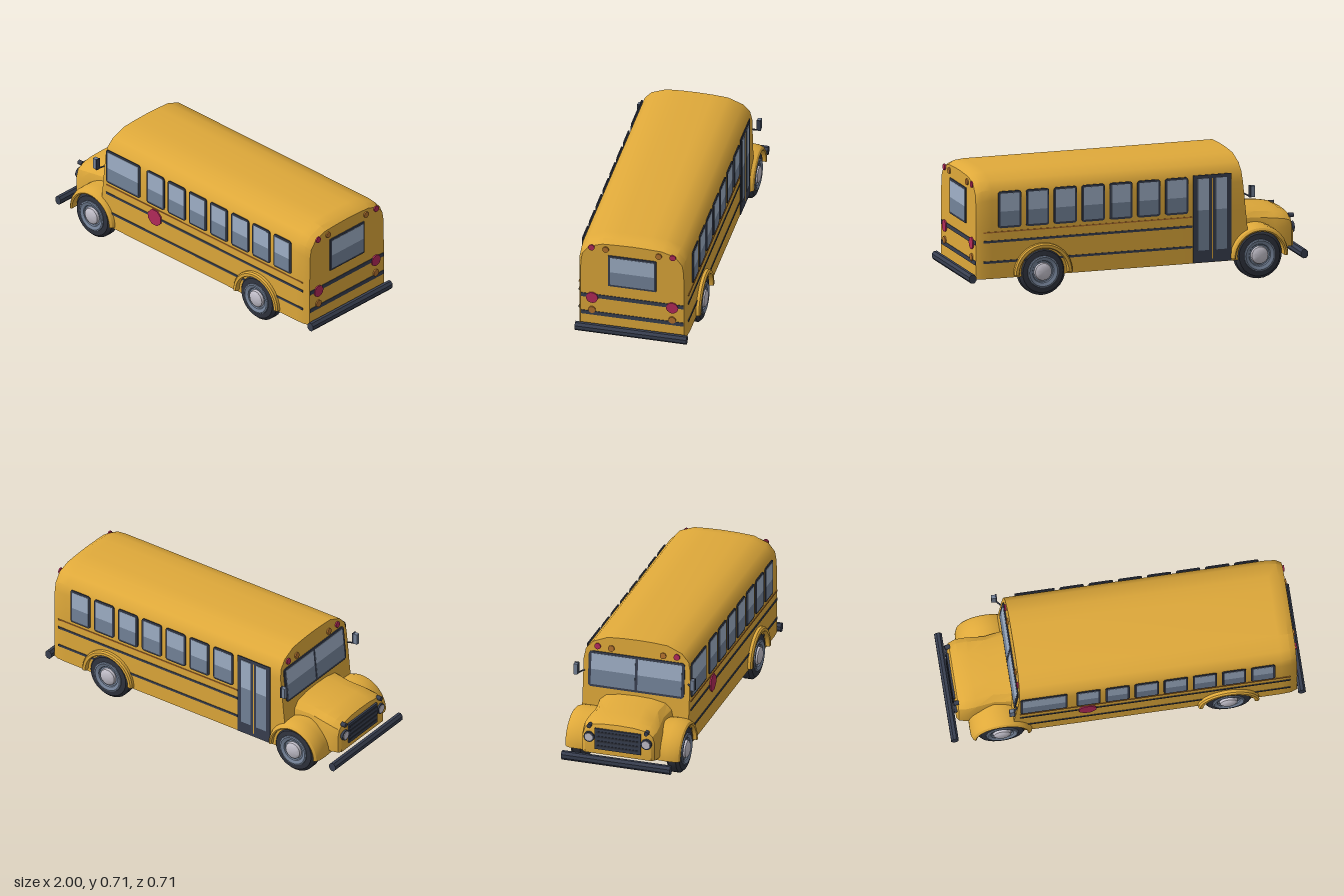
import * as THREE from 'three';
import { toCreasedNormals } from 'three/addons/utils/BufferGeometryUtils.js';

const mat = (name, color) => new THREE.MeshStandardMaterial({ name, color });

export function createModel() {
  const bus = new THREE.Group();
  bus.name = 'bus';
  const yellow = mat('yellow paint', 0xdfa93a);
  const fenderYellow = yellow.clone();
  fenderYellow.side = THREE.DoubleSide;
  const navy = mat('dark trim', 0x383f50);
  const tyreMat = mat('tyre rubber', 0x30343f);
  const glassLight = mat('light glass', 0xa0b1c8);
  const glassDark = mat('dark glass', 0x74849a);
  const slate = mat('slate metal', 0x76849a);
  const silver = mat('silver', 0xc4c1cc);
  const red = mat('red', 0xb32a5a);
  const amber = mat('amber', 0xb5732f);

  const add = (parent, name, geo, material, x = 0, y = 0, z = 0) => {
    const m = new THREE.Mesh(geo, material);
    m.name = name;
    m.position.set(x, y, z);
    parent.add(m);
    return m;
  };

  // Closed skin through mirrored half sections of [z, y]; xAt gives x for a height
  const loft = (stations) => {
    const rings = stations.map(({ half, xAt }) => {
      const mirror = half.slice(0, -1).reverse().map(([z, y]) => [-z, y]);
      return [...half, ...mirror].map(([z, y]) => [xAt(y), y, z]);
    });
    const n = rings[0].length, pos = [];
    const tri = (a, b, c) => pos.push(...a, ...b, ...c);
    for (let i = 0; i < rings.length - 1; i++) {
      for (let j = 0; j < n; j++) {
        const k = (j + 1) % n, p = rings[i], q = rings[i + 1];
        tri(p[j], q[j], q[k]);
        tri(p[j], q[k], p[k]);
      }
    }
    const first = rings[0], last = rings[rings.length - 1];
    for (let j = 1; j < n - 1; j++) {
      tri(first[0], first[j], first[j + 1]);
      tri(last[0], last[j + 1], last[j]);
    }
    const g = new THREE.BufferGeometry();
    g.setAttribute('position', new THREE.Float32BufferAttribute(pos, 3));
    return toCreasedNormals(g, 0.55);
  };

  // Passenger body, with a raked front and a softened rear
  const full = [[0.313, 0.118], [0.313, 0.4], [0.313, 0.565], [0.302, 0.623], [0.262, 0.668],
    [0.177, 0.703], [0.09, 0.709], [0, 0.711]];
  const rear = [[0.297, 0.118], [0.297, 0.4], [0.295, 0.545], [0.286, 0.6], [0.247, 0.652],
    [0.17, 0.677], [0.08, 0.681], [0, 0.683]];
  const blend = (t) => full.map(([z, y], i) => [z + (rear[i][0] - z) * t, y + (rear[i][1] - y) * t]);
  const rake = 0.1, frontX = (y) => -0.603 - (0.711 - y) * rake;
  add(bus, 'body', loft([
    { half: full, xAt: frontX },
    { half: full, xAt: () => 0.863 },
    { half: blend(0.22), xAt: () => 0.92 },
    { half: rear, xAt: () => 0.953 },
  ]), yellow);

  // Hood
  const hoodHalf = (w, top) => {
    const b = 0.152, h = top - b;
    return [[1, 0], [1, 0.55], [0.94, 0.78], [0.78, 0.92], [0.42, 0.985], [0, 1]]
      .map(([u, v]) => [u * w, b + v * h]);
  };
  add(bus, 'hood', loft([[-0.953, 0.195, 0.3], [-0.94, 0.212, 0.335], [-0.9, 0.224, 0.353],
    [-0.84, 0.222, 0.364], [-0.74, 0.21, 0.374], [-0.6, 0.23, 0.386]]
    .map(([x, w, top]) => ({ half: hoodHalf(w, top), xAt: () => x }))), yellow);

  // Wheels and fenders, turned around the axle
  const turn = (pts, start = 0, length = Math.PI * 2, segs = 28) => {
    const g = new THREE.LatheGeometry(pts.map(([r, z]) => new THREE.Vector2(r, z)), segs, start, length);
    return toCreasedNormals(g.rotateX(Math.PI / 2), 0.5);
  };
  const tyre = turn([[0, 0.24], [0.11, 0.24], [0.137, 0.258], [0.137, 0.303], [0.12, 0.32], [0.086, 0.323]]);
  const rim = turn([[0.092, 0.318], [0.09, 0.328], [0.083, 0.331], [0.064, 0.324], [0.06, 0.316], [0, 0.316]]);
  const hub = turn([[0.052, 0.314], [0.048, 0.33], [0.035, 0.338], [0, 0.34]]);
  const arch = (pts) => turn(pts, Math.PI / 2, Math.PI, 24);
  const frontFender = arch([[0.172, 0.15], [0.176, 0.26], [0.174, 0.305], [0.164, 0.33], [0.152, 0.339],
    [0.144, 0.335], [0.144, 0.15]]);
  const rearFender = arch([[0.172, 0.3], [0.172, 0.33], [0.164, 0.339], [0.148, 0.339], [0.144, 0.333], [0.144, 0.3]]);
  for (const [end, x, fender] of [['front', -0.713, frontFender], ['rear', 0.565, rearFender]]) {
    for (const turned of [0, Math.PI]) {
      const wheel = new THREE.Group();
      wheel.name = end + 'Wheel';
      wheel.position.set(x, 0.139, 0);
      wheel.rotation.y = turned;
      add(wheel, 'tyre', tyre, tyreMat);
      add(wheel, 'rim', rim, slate);
      add(wheel, 'hub', hub, silver);
      add(wheel, end + 'Fender', fender, fenderYellow, 0, -0.008, 0);
      bus.add(wheel);
    }
  }

  // Faces of the bus: in each group +z points out of that face
  const face = (name, x, z, turnY, tilt = 0) => {
    const g = new THREE.Group();
    g.name = name;
    g.position.set(x, 0, z);
    g.rotation.set(tilt, turnY, 0, 'YXZ');
    bus.add(g);
    return g;
  };
  const nearSide = face('nearSide', 0, 0.313, 0);
  const doorSide = face('doorSide', 0, -0.313, Math.PI);
  const rearFace = face('rearFace', 0.953, 0, Math.PI / 2);
  const cabFront = face('cabFront', frontX(0), 0, -Math.PI / 2, -Math.atan(rake));
  const nose = face('nose', -0.953, 0, -Math.PI / 2);

  const plate = (parent, name, material, x, y, w, h, z = 0.002, d = 0.005) =>
    add(parent, name, new THREE.BoxGeometry(w, h, d), material, x, y, z);
  const disc = (parent, name, material, x, y, r, segs = 16, z = 0.004, d = 0.008) =>
    add(parent, name, new THREE.CylinderGeometry(r, r, d, segs).rotateY(Math.PI / segs).rotateX(Math.PI / 2),
      material, x, y, z);
  const roundedPlate = (w, h, r, depth) => {
    const s = new THREE.Shape(), a = w / 2, b = h / 2;
    s.absarc(a - r, b - r, r, 0, Math.PI / 2);
    s.absarc(r - a, b - r, r, Math.PI / 2, Math.PI);
    s.absarc(r - a, r - b, r, Math.PI, Math.PI * 1.5);
    s.absarc(a - r, r - b, r, Math.PI * 1.5, Math.PI * 2);
    return new THREE.ExtrudeGeometry(s, { depth, bevelEnabled: false, curveSegments: 4 });
  };
  // Two-tone pane, split partway up
  const pane = (parent, x, y0, y1, w, split = 0.5) => {
    plate(parent, 'lowerGlass', glassDark, x, (y0 + split) / 2, w, split - y0, 0.005);
    plate(parent, 'upperGlass', glassLight, x, (y1 + split) / 2, w, y1 - split, 0.005);
  };
  const windowAt = (parent, x, y0, y1, w, r = 0.016, edge = 0.012) => {
    add(parent, 'windowFrame', roundedPlate(w, y1 - y0, r, 0.006), navy, x, (y0 + y1) / 2, 0);
    pane(parent, x, y0 + edge, y1 - edge, w - edge * 2);
  };

  // Side windows and stripes
  for (const [side, s] of [[nearSide, 1], [doorSide, -1]]) {
    for (let i = 0; i < 7; i++) windowAt(side, s * (-0.225 + i * 0.1642), 0.405, 0.615, 0.136);
    const x0 = s > 0 ? -0.61 : -0.32, x1 = 0.915;
    for (const [y, h, m] of [[0.383, 0.007, amber], [0.33, 0.013, navy], [0.213, 0.013, navy]]) {
      plate(side, 'sideStripe', m, s * (x0 + x1) / 2, y, x1 - x0, h, 0.001, 0.004);
    }
  }
  windowAt(nearSide, -0.476, 0.405, 0.615, 0.264);
  disc(nearSide, 'stopPlate', red, -0.23, 0.33, 0.052, 8);

  // Folding door
  plate(doorSide, 'doorFrame', navy, 0.435, 0.37, 0.224, 0.5);
  for (const x of [0.382, 0.488]) pane(doorSide, x, 0.19, 0.6, 0.066, 0.42);
  plate(doorSide, 'doorSeam', yellow, 0.435, 0.37, 0.006, 0.46, 0.003);

  // Rear window, stripes and lamps
  windowAt(rearFace, 0, 0.405, 0.608, 0.276, 0.004);
  for (const y of [0.324, 0.209]) plate(rearFace, 'rearStripe', navy, 0, y, 0.588, 0.024, 0.001, 0.004);
  for (const s of [-1, 1]) {
    disc(rearFace, 'tailLamp', red, s * 0.23, 0.313, 0.034);
    disc(rearFace, 'turnLamp', amber, s * 0.23, 0.232, 0.021);
    for (const f of [rearFace, cabFront]) {
      disc(f, 'redRoofLamp', red, s * 0.233, 0.648, 0.018);
      disc(f, 'amberRoofLamp', amber, s * 0.152, 0.645, 0.018);
    }
  }

  // Split windshield
  add(cabFront, 'windshieldFrame', roundedPlate(0.565, 0.21, 0.02, 0.006), navy, 0, 0.512, 0);
  for (const s of [-1, 1]) pane(cabFront, s * 0.137, 0.42, 0.604, 0.258, 0.51);

  // Grille, headlamps and nose markers
  plate(nose, 'grille', navy, 0, 0.245, 0.27, 0.125, 0.002, 0.012);
  for (let i = 0; i < 4; i++) plate(nose, 'grilleBar', tyreMat, 0, 0.203 + i * 0.028, 0.25, 0.01, 0.008, 0.006);
  for (const s of [-1, 1]) {
    disc(nose, 'headlampRing', navy, s * 0.168, 0.252, 0.031, 20, 0.002, 0.016);
    disc(nose, 'headlamp', silver, s * 0.168, 0.252, 0.023, 20, 0.009, 0.008);
    disc(nose, 'noseMarker', navy, s * 0.168, 0.318, 0.013, 12, -0.004, 0.03);
  }

  // Bumpers
  for (const [name, x] of [['frontBumper', -0.979], ['rearBumper', 0.979]]) {
    const g = new THREE.CylinderGeometry(1, 1, 0.64, 8).rotateY(Math.PI / 8).rotateX(Math.PI / 2);
    add(bus, name, toCreasedNormals(g.scale(0.0227, 0.0271, 1), 0.3), navy, x, 0.126, 0);
  }

  // Door mirrors on short arms
  for (const s of [-1, 1]) {
    const arm = new THREE.LineCurve3(new THREE.Vector3(-0.625, 0.495, s * 0.305), new THREE.Vector3(-0.655, 0.48, s * 0.343));
    add(bus, 'mirrorArm', new THREE.TubeGeometry(arm, 1, 0.005, 6), navy);
    add(bus, 'mirrorShell', new THREE.BoxGeometry(0.03, 0.064, 0.022), slate, -0.66, 0.513, s * 0.343);
    add(bus, 'mirrorRim', new THREE.BoxGeometry(0.008, 0.068, 0.025), navy, -0.648, 0.513, s * 0.343);
  }
  return bus;
}
